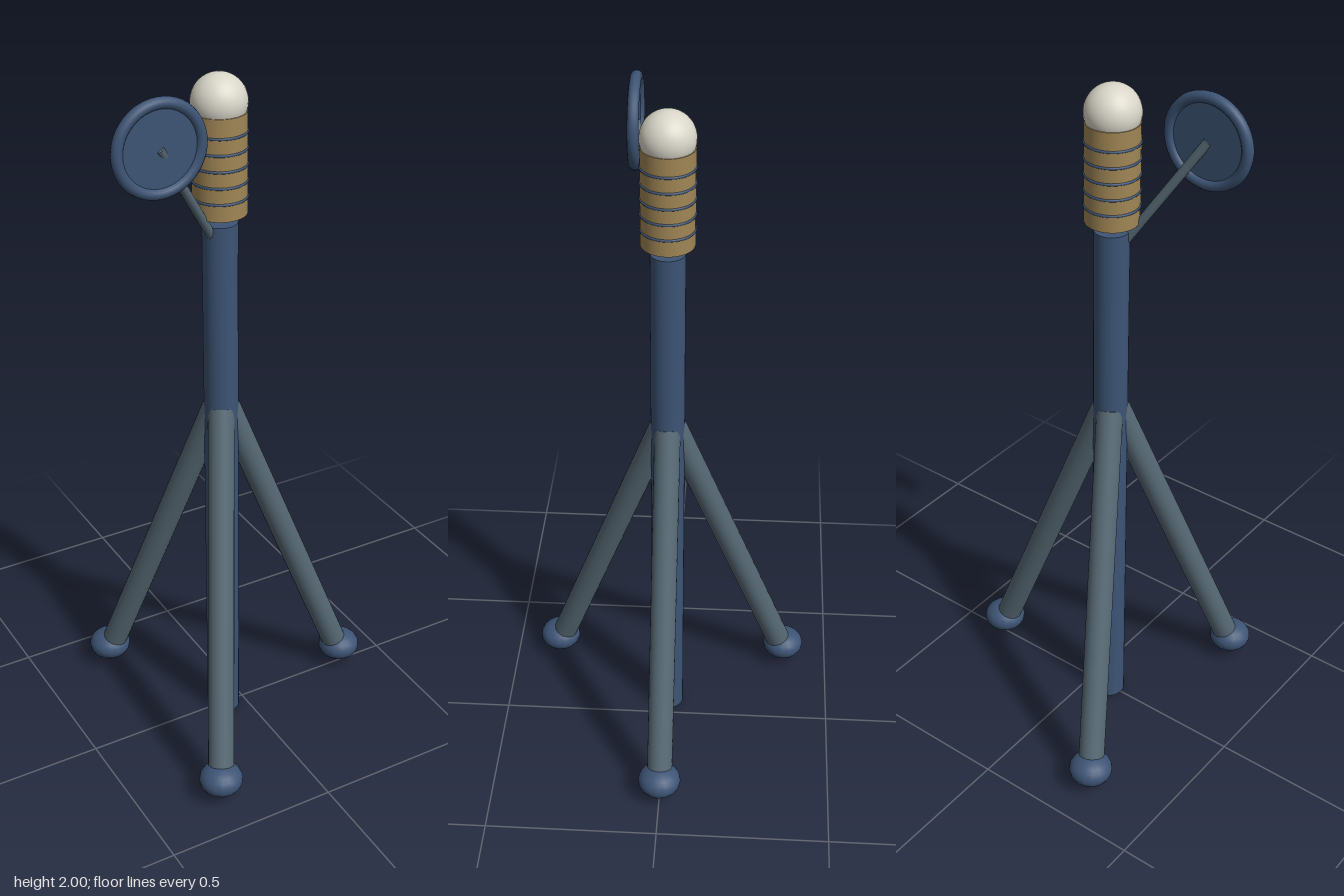
import * as THREE from 'three';

const mat = (color) => new THREE.MeshStandardMaterial({ color });

export function createModel() {
  const model = new THREE.Group();
  const blue = mat(0x3d5475), slate = mat(0x566873), tan = mat(0xa08655), cream = mat(0xd9d6c9);
  const axisX = -0.066;

  const add = (name, geometry, material, x, y, z) => {
    const mesh = new THREE.Mesh(geometry, material);
    mesh.name = name;
    mesh.position.set(x, y, z);
    model.add(mesh);
    return mesh;
  };

  // Cylinder running between two points
  const rod = (name, a, b, radius, material) => {
    const dir = b.clone().sub(a);
    const mid = a.clone().add(b).multiplyScalar(0.5);
    const mesh = add(name, new THREE.CylinderGeometry(radius, radius, dir.length(), 24), material, mid.x, mid.y, mid.z);
    mesh.quaternion.setFromUnitVectors(new THREE.Vector3(0, 1, 0), dir.normalize());
  };

  // Upright pole
  add('pole', new THREE.CylinderGeometry(0.048, 0.048, 1.6, 32), blue, axisX, 0.8, 0);

  // Three splayed legs with flattened ball feet
  for (let i = 0; i < 3; i++) {
    const angle = (i * Math.PI * 2) / 3;
    const at = (r, y) => new THREE.Vector3(axisX + r * Math.cos(angle), y, r * Math.sin(angle));
    rod('leg' + (i + 1), at(0.016, 1.05), at(0.408, 0.07), 0.037, slate);
    const p = at(0.418, 0.069);
    const foot = add('foot' + (i + 1), new THREE.SphereGeometry(0.063, 16, 12), blue, p.x, p.y, p.z);
    foot.scale.y = 0.72;
  }

  // Microphone body, grooved rings and rounded head
  add('microphoneBody', new THREE.CylinderGeometry(0.073, 0.073, 0.275, 32), tan, axisX, 1.7645, 0);
  for (let i = 0; i < 5; i++) {
    const ring = add('bodyRing' + (i + 1), new THREE.TorusGeometry(0.072, 0.004, 8, 40), blue, axisX, 1.674 + i * 0.044, 0);
    ring.rotation.x = Math.PI / 2;
  }
  add('microphoneHead', new THREE.SphereGeometry(0.0745, 32, 24), cream, axisX, 1.9255, 0);

  // Round pop filter on a slanted arm
  const centre = new THREE.Vector3(-0.286, 1.872, 0.098);
  rod('filterArm', new THREE.Vector3(axisX, 1.52, 0), centre, 0.0125, slate);
  add('filterRim', new THREE.TorusGeometry(0.1155, 0.0155, 12, 48), blue, centre.x, centre.y, centre.z);
  const screen = add('filterScreen', new THREE.CylinderGeometry(0.113, 0.113, 0.01, 48), blue, centre.x, centre.y, centre.z);
  screen.rotation.x = Math.PI / 2;

  return model;
}
